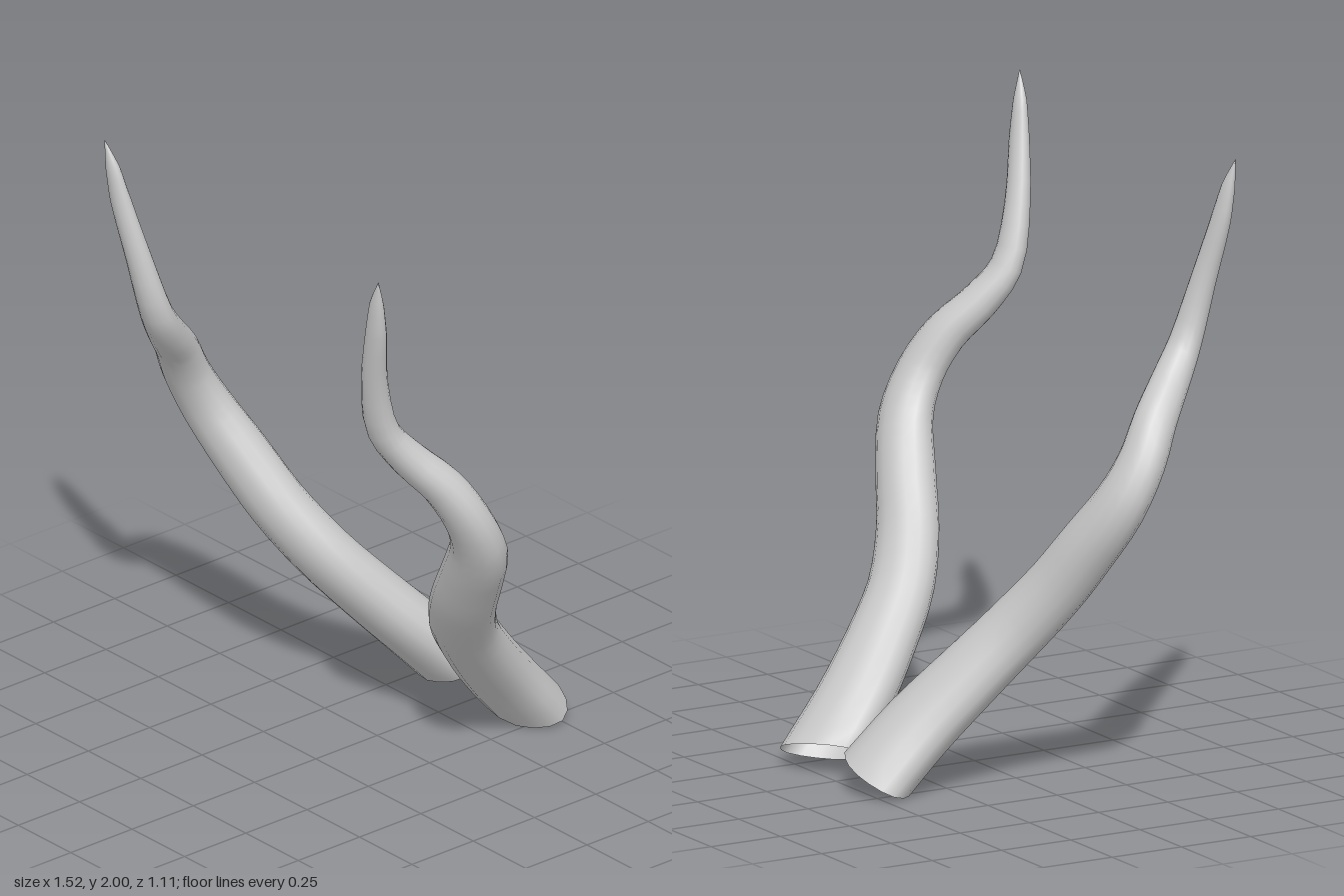
import * as THREE from 'three';

// Stations along the left horn: x, y, z, half width, half depth
const STATIONS = [
  [0.165, 0.057, -0.45, 0.16, 0.1],
  [0.198, 0.2, -0.32, 0.148, 0.1],
  [0.262, 0.35, -0.185, 0.132, 0.097],
  [0.34, 0.5, -0.062, 0.119, 0.093],
  [0.445, 0.65, 0.025, 0.11, 0.09],
  [0.552, 0.8, 0.082, 0.104, 0.088],
  [0.648, 0.95, 0.14, 0.1, 0.078],
  [0.667, 1.08, 0.205, 0.088, 0.07],
  [0.632, 1.2, 0.275, 0.074, 0.066],
  [0.577, 1.3, 0.362, 0.066, 0.059],
  [0.541, 1.41, 0.438, 0.06, 0.048],
  [0.56, 1.6, 0.49, 0.047, 0.038],
  [0.608, 1.8, 0.525, 0.04, 0.028],
  [0.629, 1.91, 0.54, 0.027, 0.019],
  [0.652, 2.0, 0.553, 0.001, 0.001],
];
const RINGS = 42, SIDES = 16;
const CUT = new THREE.Vector3(0.3, 1, 0.38); // normal of the slanted base cut

// Open tapered oval sweep; side = 1 for the left horn, -1 for its mirror image
function hornGeometry(side) {
  const path = new THREE.CatmullRomCurve3(STATIONS.map((s) => new THREE.Vector3(s[0], s[1], s[2])));
  const size = new THREE.CatmullRomCurve3(STATIONS.map((s) => new THREE.Vector3(s[3], s[4], 0)));
  const pos = [], index = [];
  for (let j = 0; j <= RINGS; j++) {
    const k = j / RINGS;
    const c = path.getPoint(k), r = size.getPoint(k), t = path.getTangent(k);
    const u = new THREE.Vector3(1, 0, 0).addScaledVector(t, -t.x).normalize();
    const v = new THREE.Vector3().crossVectors(t, u);
    for (let i = 0; i < SIDES; i++) {
      const a = (i / SIDES) * Math.PI * 2;
      const flute = 1 + 0.015 * Math.cos(5 * a + 4 * k); // faint lengthwise ridges
      const d = u.clone().multiplyScalar(Math.cos(a) * r.x * flute)
        .addScaledVector(v, Math.sin(a) * r.y * flute);
      // slide the lowest rings along the horn onto the base cut, easing out upwards
      const ease = Math.max(0, 1 - k / 0.14);
      d.addScaledVector(t, (-d.dot(CUT) / t.dot(CUT)) * ease);
      d.add(c);
      pos.push(d.x * side, d.y, d.z);
    }
  }
  const tri = (a, b, c) => (side > 0 ? index.push(a, b, c) : index.push(a, c, b));
  for (let j = 0; j < RINGS; j++) {
    for (let i = 0; i < SIDES; i++) {
      const a = j * SIDES + i, b = j * SIDES + ((i + 1) % SIDES);
      tri(a, b, b + SIDES);
      tri(a, b + SIDES, a + SIDES);
    }
  }
  const geometry = new THREE.BufferGeometry();
  geometry.setAttribute('position', new THREE.Float32BufferAttribute(pos, 3));
  geometry.setIndex(index);
  geometry.computeVertexNormals();
  return geometry;
}

export function createModel() {
  const model = new THREE.Group();
  model.name = 'hornPair';
  const material = new THREE.MeshStandardMaterial({ color: 0xcccccc, side: THREE.DoubleSide });
  for (const [name, side] of [['leftHorn', 1], ['rightHorn', -1]]) {
    const horn = new THREE.Mesh(hornGeometry(side), material);
    horn.name = name;
    model.add(horn);
  }
  return model;
}
